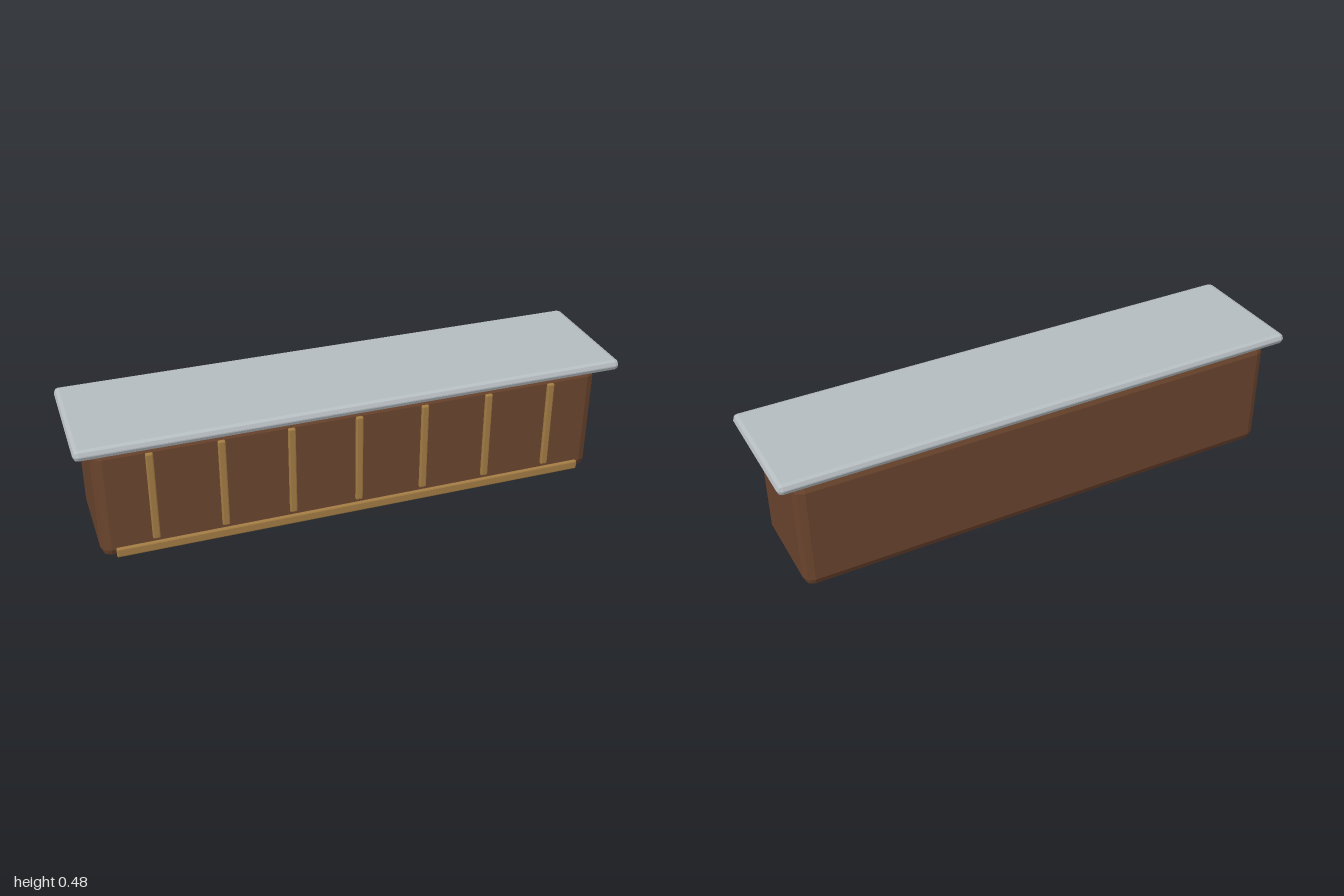
import * as THREE from 'three';
import { RoundedBoxGeometry } from 'three/addons/geometries/RoundedBoxGeometry.js';

const material = (color) => new THREE.MeshStandardMaterial({ color, flatShading: true });

export function createModel() {
  const group = new THREE.Group();
  const wood = material(0x6b452e);
  const trim = material(0xa37c44);
  const stone = material(0xb6bdc1);

  // Box with two-facet bevels, given by its minimum and maximum corners
  const block = (name, mat, min, max, radius) => {
    const size = max.map((v, i) => v - min[i]);
    const mesh = new THREE.Mesh(new RoundedBoxGeometry(...size, 1, radius), mat);
    mesh.position.set(...max.map((v, i) => (v + min[i]) / 2));
    mesh.name = name;
    group.add(mesh);
  };

  // Counter body and overhanging worktop
  block('counterBody', wood, [-0.94, 0, -0.207], [0.94, 0.437, 0.182], 0.035);
  block('worktop', stone, [-1, 0.441, -0.24], [1, 0.481, 0.24], 0.018);

  // Trim on the front: foot rail and seven upright battens
  block('footRail', trim, [-0.89, 0.01, 0.182], [0.89, 0.045, 0.198], 0.005);
  for (let i = -3; i <= 3; i++) {
    const x = i * 0.249;
    block('batten', trim, [x - 0.0135, 0.059, 0.182], [x + 0.0135, 0.405, 0.198], 0.005);
  }
  return group;
}
